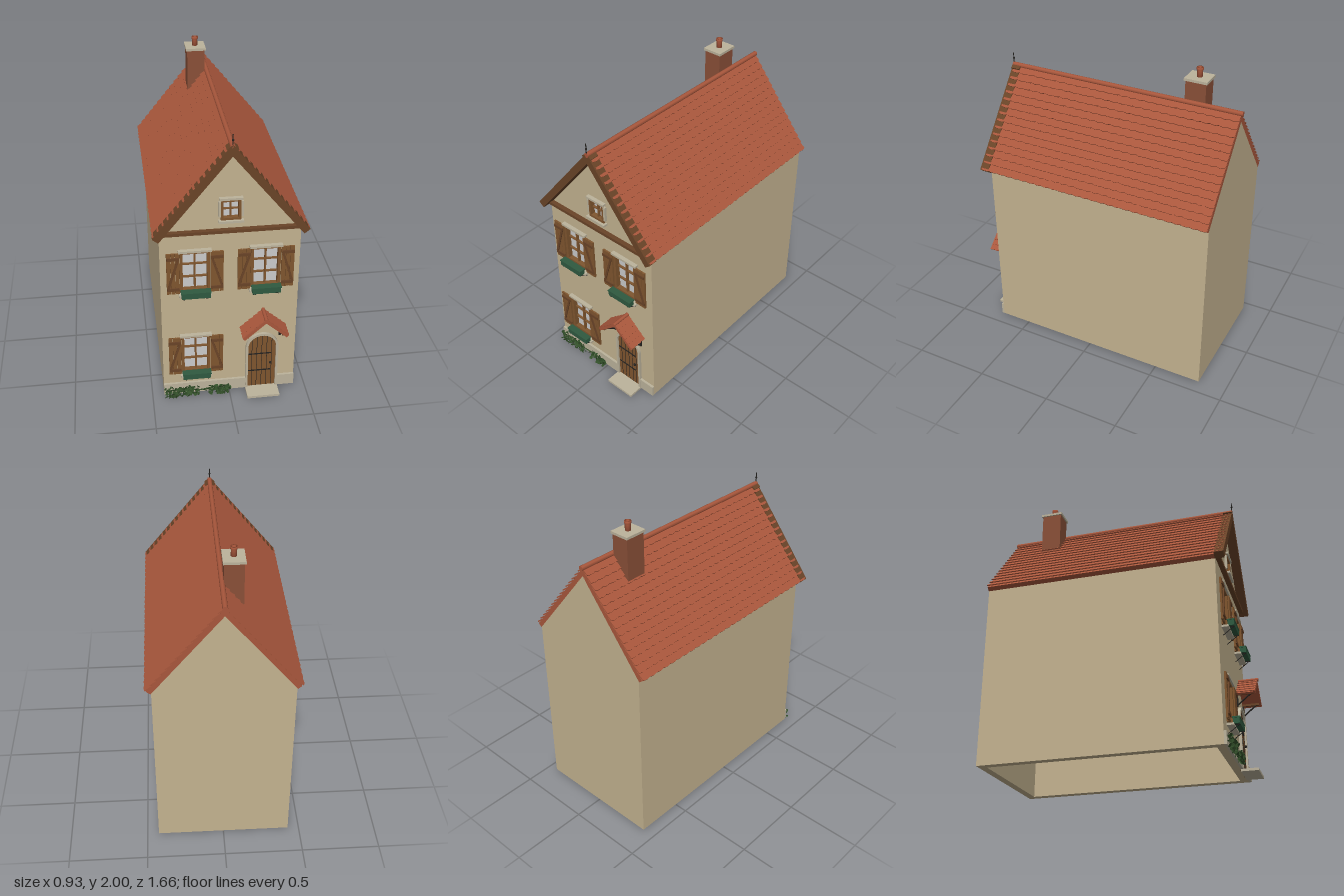
import * as THREE from 'three';
import { mergeGeometries } from 'three/addons/utils/BufferGeometryUtils.js';

const mat = (color, extra = {}) => new THREE.MeshStandardMaterial({ color, ...extra });
const M = {
  wall: mat(0xc4b390), stone: mat(0xbcb39c), tile: mat(0xa9573c), wood: mat(0x80562f),
  darkWood: mat(0x6a4428), iron: mat(0x24221f), glass: mat(0xc9c9cc), green: mat(0x2f5a40),
  brick: mat(0x8a5038), leaf: mat(0x33502a, { side: THREE.DoubleSide }),
};
const FRONT = 0.7, BACK = -0.82, HALF = 0.425, BASE = 0.02, EAVE = 1.22, APEX = 1.745;

function add(parent, name, geometry, material, x = 0, y = 0, z = 0) {
  const mesh = new THREE.Mesh(geometry, material);
  mesh.name = name;
  mesh.position.set(x, y, z);
  parent.add(mesh);
  return mesh;
}
function box(parent, name, material, w, h, d, x, y, z, turn = 0) {
  const mesh = add(parent, name, new THREE.BoxGeometry(w, h, d), material, x, y, z);
  mesh.rotation.z = turn;
  return mesh;
}
function rod(parent, name, material, a, b, r) {
  const p = new THREE.Vector3(...a), q = new THREE.Vector3(...b), dir = q.clone().sub(p);
  const mesh = add(parent, name, new THREE.CylinderGeometry(r, r, dir.length(), 8), material);
  mesh.position.copy(p).add(q).multiplyScalar(0.5);
  mesh.quaternion.setFromUnitVectors(new THREE.Vector3(0, 1, 0), dir.normalize());
}
function group(parent, name, x = 0, y = 0, z = 0) {
  const g = new THREE.Group();
  g.name = name;
  g.position.set(x, y, z);
  parent.add(g);
  return g;
}
const extrude = (shape, depth) =>
  new THREE.ExtrudeGeometry(shape, { depth, bevelEnabled: false, curveSegments: 16 });

function trace(path, points) {
  points.forEach(([x, y], i) => (i ? path.lineTo(x, y) : path.moveTo(x, y)));
  path.closePath();
  return path;
}
function archPath(path, x, r, bottom, spring) {
  path.moveTo(x - r, bottom);
  path.lineTo(x + r, bottom);
  path.lineTo(x + r, spring);
  path.absarc(x, spring, r, 0, Math.PI, false);
  path.closePath();
  return path;
}

// Gabled roof with overlapping scalloped tile courses; origin at the middle of the ridge
function tiledRoof(parent, name, half, rise, length, rows, tiles, slab, lift) {
  const roof = group(parent, name);
  const slope = Math.hypot(half, rise), c = half / slope, s = rise / slope;
  const step = slope / rows, w = length / tiles;
  const courses = [];
  for (let r = 0; r < rows; r++) {
    const shape = new THREE.Shape();
    const top = r === rows - 1 ? step : step * 1.15;
    shape.moveTo(-length / 2, top);
    shape.lineTo(-length / 2, 0);
    for (let t = 0; t < tiles; t++) {
      const x = -length / 2 + t * w;
      shape.quadraticCurveTo(x + w / 2, -step * 0.22, x + w, 0);
    }
    shape.lineTo(length / 2, top);
    shape.closePath();
    const g = new THREE.ExtrudeGeometry(shape, { depth: lift * 0.6, bevelEnabled: false, curveSegments: 4 });
    g.rotateX(-Math.atan(lift / step));
    g.translate(0, -slope + r * step, lift * 0.7);
    courses.push(g);
  }
  const tileGeometry = mergeGeometries(courses);
  for (const turn of [0, Math.PI]) {
    const side = group(roof, turn ? 'rightSlope' : 'leftSlope');
    side.rotation.y = turn;
    const plane = group(side, 'slope');
    plane.quaternion.setFromRotationMatrix(new THREE.Matrix4().makeBasis(
      new THREE.Vector3(0, 0, -1), new THREE.Vector3(-c, s, 0), new THREE.Vector3(s, c, 0)));
    add(plane, 'tiles', tileGeometry, M.tile);
    box(plane, 'roofSlab', M.tile, length, slope, slab, 0, -slope / 2, -slab / 2);
  }
  return roof;
}
// Pair of sloping boards along the front edge of a gable
function bargeBoards(parent, half, rise, y, z, width, depth, material, x = 0) {
  const len = Math.hypot(half, rise), a = Math.atan2(rise, half);
  for (const m of [-1, 1])
    box(parent, 'bargeBoard', material, len, width, depth,
      x + m * (half / 2 - Math.sin(a) * width / 2), y - rise / 2 - Math.cos(a) * width / 2, z, -m * a);
}

function shutter(parent, x, y, w, h, mirror) {
  const g = group(parent, 'shutter', x, y, FRONT + 0.018);
  const n = 3;
  for (let i = 0; i < n; i++)
    box(g, 'plank', M.wood, w / n - 0.002, h, 0.012, (i - 1) * w / n, 0, 0);
  for (const k of [-1, 1]) box(g, 'batten', M.darkWood, w * 0.94, 0.02, 0.008, 0, k * h * 0.38, 0.009);
  const rise = h * 0.7;
  box(g, 'brace', M.darkWood, 0.014, Math.hypot(rise, w * 0.75), 0.007, 0, 0, 0.009,
    mirror * Math.atan2(w * 0.75, rise));
}
function sash(parent, w, h, rows, bar) {
  box(parent, 'glass', M.glass, w, h, 0.006, 0, 0, -0.02);
  for (const m of [-1, 1]) {
    box(parent, 'jamb', M.wood, bar * 1.6, h, 0.04, m * (w / 2), 0, -0.005);
    box(parent, 'rail', M.wood, w + bar * 1.6, bar * 1.6, 0.04, 0, m * (h / 2), -0.005);
  }
  box(parent, 'mullion', M.wood, bar, h, 0.02, 0, 0, -0.01);
  for (let i = 1; i < rows; i++)
    box(parent, 'glazingBar', M.wood, w, bar * 0.7, 0.016, 0, -h / 2 + i * h / rows, -0.01);
}
// Shuttered window with lintel, sill and planter
function mainWindow(parent, x, y) {
  const g = group(parent, 'window', x, y, FRONT);
  sash(g, 0.165, 0.27, 3, 0.011);
  box(g, 'lintel', M.stone, 0.2, 0.014, 0.03, 0, 0.146, 0.012);
  box(g, 'sill', M.stone, 0.2, 0.014, 0.045, 0, -0.162, 0.02);
  box(g, 'planter', M.green, 0.175, 0.038, 0.04, 0, -0.138, 0.055);
  box(g, 'planterRim', M.green, 0.183, 0.008, 0.046, 0, -0.119, 0.055);
  for (const m of [-1, 1]) {
    rod(g, 'planterBracket', M.iron, [m * 0.07, -0.16, 0.07], [m * 0.07, -0.212, 0], 0.0025);
    rod(g, 'planterBracket', M.iron, [m * 0.07, -0.16, 0], [m * 0.07, -0.16, 0.075], 0.0025);
    shutter(parent, x + m * 0.133, y - 0.005, 0.08, 0.285, m);
  }
}

export function createModel() {
  const house = new THREE.Group();
  house.name = 'house';

  // Hollow walls
  const gable = [[-HALF, BASE], [HALF, BASE], [HALF, EAVE], [0, APEX], [-HALF, EAVE]];
  const windows = [[-0.215, 0.96], [0.215, 0.96], [-0.215, 0.335]];
  const frontShape = trace(new THREE.Shape(), gable);
  const hole = (x, y, w, h) => frontShape.holes.push(trace(new THREE.Path(),
    [[x - w / 2, y - h / 2], [x - w / 2, y + h / 2], [x + w / 2, y + h / 2], [x + w / 2, y - h / 2]]));
  windows.forEach(([x, y]) => hole(x, y, 0.165, 0.27));
  hole(0, 1.37, 0.1, 0.12);
  frontShape.holes.push(archPath(new THREE.Path(), 0.21, 0.09, BASE + 0.002, 0.345));
  add(house, 'frontWall', extrude(frontShape, 0.05), M.wall, 0, 0, FRONT - 0.05);
  add(house, 'backWall', extrude(trace(new THREE.Shape(), gable), 0.05), M.wall, 0, 0, BACK);
  for (const m of [-1, 1])
    box(house, 'sideWall', M.wall, 0.05, EAVE - BASE, FRONT - BACK - 0.1,
      m * (HALF - 0.025), (EAVE + BASE) / 2, (FRONT + BACK) / 2);
  box(house, 'plinth', M.stone, 0.53, 0.08, 0.016, -0.16, 0.06, FRONT + 0.008);
  box(house, 'plinth', M.stone, 0.11, 0.08, 0.016, 0.37, 0.06, FRONT + 0.008);
  box(house, 'gableBeam', M.darkWood, 0.84, 0.02, 0.03, 0, 1.232, FRONT + 0.015);

  // Main roof
  const roof = tiledRoof(house, 'roof', 0.452, 0.56, 1.57, 15, 28, 0.03, 0.012);
  roof.position.set(0, 1.787, -0.035);
  bargeBoards(house, 0.466, 0.575, 1.806, 0.73, 0.045, 0.06, M.darkWood);
  rod(house, 'ridge', M.tile, [0, 1.792, -0.83], [0, 1.792, 0.76], 0.016);
  rod(house, 'finial', M.iron, [0, 1.78, 0.757], [0, 1.87, 0.757], 0.003);
  add(house, 'finialKnob', new THREE.SphereGeometry(0.007, 10, 8), M.iron, 0, 1.835, 0.757);

  // Chimney
  const chimney = group(house, 'chimney', -0.068, 0, -0.518);
  box(chimney, 'stack', M.brick, 0.116, 0.36, 0.134, 0, 1.75, 0);
  box(chimney, 'cap', M.stone, 0.132, 0.016, 0.15, 0, 1.932, 0);
  const pot = [[0, 0], [0.018, 0], [0.017, 0.04], [0.021, 0.044], [0.021, 0.06], [0.013, 0.06], [0.012, 0.02], [0, 0.02]];
  add(chimney, 'pot', new THREE.LatheGeometry(pot.map(p => new THREE.Vector2(...p)), 16), M.tile, 0, 1.94, 0);

  // Windows
  windows.forEach(([x, y]) => mainWindow(house, x, y));
  const attic = group(house, 'atticWindow', 0, 1.37, FRONT);
  sash(attic, 0.105, 0.12, 2, 0.009);
  box(attic, 'lintel', M.stone, 0.14, 0.014, 0.03, 0, 0.074, 0.01);
  box(attic, 'sill', M.stone, 0.15, 0.014, 0.035, 0, -0.074, 0.014);
  for (const m of [-1, 1]) box(attic, 'surround', M.stone, 0.014, 0.1, 0.02, m * 0.067, 0.005, 0.006);

  // Arched door
  const door = group(house, 'door', 0.21, 0, 0);
  add(door, 'doorLeaf', extrude(archPath(new THREE.Shape(), 0, 0.09, BASE, 0.345), 0.02), M.wood, 0, 0, FRONT - 0.015);
  const ring = new THREE.Shape();
  ring.moveTo(0.09, BASE);
  ring.lineTo(0.105, BASE);
  ring.lineTo(0.105, 0.345);
  ring.absarc(0, 0.345, 0.105, 0, Math.PI, false);
  ring.lineTo(-0.105, BASE);
  ring.lineTo(-0.09, BASE);
  ring.lineTo(-0.09, 0.345);
  ring.absarc(0, 0.345, 0.09, Math.PI, 0, true);
  ring.closePath();
  add(door, 'doorSurround', extrude(ring, 0.018), M.stone, 0, 0, FRONT);
  for (let i = -2; i <= 2; i++) {
    const x = i * 0.032, h = 0.345 + Math.sqrt(0.0081 - x * x) - BASE;
    box(door, 'plankGroove', M.iron, 0.003, h, 0.002, x, BASE + h / 2, FRONT + 0.0055);
  }
  for (const y of [0.15, 0.285]) box(door, 'hingeStrap', M.iron, 0.145, 0.007, 0.004, -0.014, y, FRONT + 0.007);
  add(door, 'knob', new THREE.SphereGeometry(0.009, 12, 8), M.iron, 0.057, 0.21, FRONT + 0.014);
  box(door, 'doorstep', M.stone, 0.21, 0.016, 0.11, 0, 0.014, FRONT + 0.055);

  // Door canopy
  const canopy = group(house, 'canopy', 0.21, 0, 0);
  tiledRoof(canopy, 'canopyRoof', 0.138, 0.125, 0.12, 5, 4, 0.014, 0.008).position.set(0, 0.628, 0.76);
  bargeBoards(canopy, 0.145, 0.132, 0.638, 0.817, 0.02, 0.012, M.tile);
  rod(canopy, 'canopyRidge', M.tile, [0, 0.633, FRONT], [0, 0.633, 0.83], 0.012);
  for (const m of [-1, 1]) {
    box(canopy, 'canopyBeam', M.darkWood, 0.014, 0.014, 0.11, m * 0.112, 0.505, 0.755);
    box(canopy, 'wallPost', M.iron, 0.012, 0.085, 0.01, m * 0.112, 0.465, FRONT + 0.005);
    rod(canopy, 'canopyStrut', M.iron, [m * 0.112, 0.43, FRONT + 0.004], [m * 0.112, 0.5, 0.79], 0.005);
  }

  // Creeping plant at the foot of the wall
  let seed = 7;
  const rnd = () => (seed = (seed * 16807) % 2147483647) / 2147483647;
  const leaves = [];
  for (let i = 0; i < 260; i++) {
    const u = rnd(), dense = u < 0.6;
    const x = dense ? -0.42 + rnd() * 0.22 : u < 0.9 ? -0.13 + rnd() * 0.13 : -0.25 + rnd() * 0.2;
    const leaf = new THREE.CircleGeometry(0.008 + rnd() * 0.005, 5);
    leaf.rotateX((rnd() - 0.5) * 1.6).rotateY((rnd() - 0.5) * 1.8);
    leaf.translate(x, 0.012 + rnd() * (dense ? 0.068 : 0.062), 0.722 + rnd() * 0.025);
    leaves.push(leaf);
  }
  add(house, 'ivyLeaves', mergeGeometries(leaves), M.leaf);
  const stem = new THREE.CatmullRomCurve3([[-0.42, 0.04], [-0.32, 0.06], [-0.2, 0.04], [-0.1, 0.05], [0, 0.03]]
    .map(([x, y]) => new THREE.Vector3(x, y, 0.722)));
  add(house, 'ivyStem', new THREE.TubeGeometry(stem, 24, 0.004, 6), M.leaf);
  return house;
}
